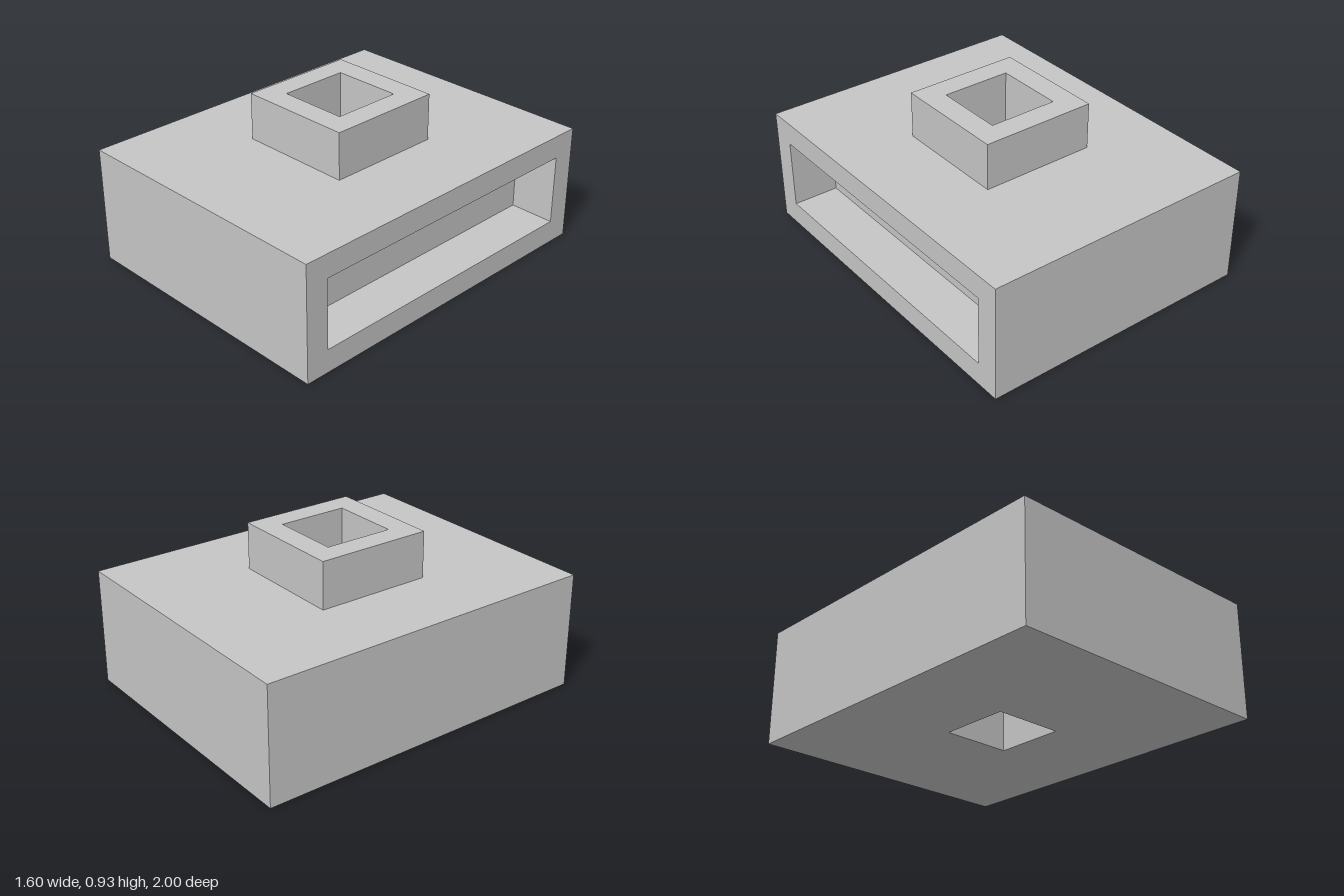
import * as THREE from 'three';

const U = 2 / 15; // design module: the block is 12 x 5 x 15 modules

const lightGrey = new THREE.MeshStandardMaterial({ color: 0xc5c5c5 });
lightGrey.name = 'lightGrey';

// Keeps chosen sides of a box (0 +x, 1 -x, 2 +y, 3 -y, 4 +z, 5 -z); inward turns them to face inside.
function boxSides(w, h, d, sides, inward = false) {
  const geometry = new THREE.BoxGeometry(w * U, h * U, d * U);
  const all = Array.from(geometry.index.array);
  const kept = sides.flatMap((s) => all.slice(s * 6, s * 6 + 6));
  if (inward) {
    kept.reverse();
    const n = geometry.attributes.normal;
    for (let i = 0; i < n.count; i++) n.setXYZ(i, -n.getX(i), -n.getY(i), -n.getZ(i));
  }
  geometry.setIndex(kept);
  geometry.clearGroups();
  return geometry;
}

function rectangle(PathType, w, h) {
  const x = (w / 2) * U, y = (h / 2) * U;
  return new PathType([[-x, -y], [x, -y], [x, y], [-x, y]].map(([a, b]) => new THREE.Vector2(a, b)));
}

// Flat rectangular face with a centred rectangular opening
function framedFace(w, h, holeW, holeH) {
  const shape = rectangle(THREE.Shape, w, h);
  shape.holes.push(rectangle(THREE.Path, holeW, holeH));
  return new THREE.ShapeGeometry(shape);
}

export function createModel() {
  const model = new THREE.Group();
  model.name = 'housing';

  const add = (name, geometry, x, y, z) => {
    const mesh = new THREE.Mesh(geometry, lightGrey);
    mesh.name = name;
    mesh.position.set(x * U, y * U, z * U);
    model.add(mesh);
  };

  // Main block: plain front, back and right sides, other faces have openings
  add('bodyWalls', boxSides(12, 5, 15, [1, 4, 5]), 0, 2.5, 0);
  add('bodyTop', framedFace(12, 15, 5, 5).rotateX(-Math.PI / 2), 0, 5, 0);
  add('bodyBottom', framedFace(12, 15, 3, 3).rotateX(Math.PI / 2), 0, 0, 0);
  add('slotFrame', framedFace(15, 5, 13, 3).rotateY(Math.PI / 2), 6, 2.5, 0);

  // Blind slot in the left side
  add('slotRecess', boxSides(2, 3, 13, [1, 2, 3, 4, 5], true), 5, 2.5, 0);

  // Raised square collar
  add('collarWalls', boxSides(5, 2, 5, [0, 1, 4, 5]), 0, 6, 0);
  add('collarRim', framedFace(5, 5, 3, 3).rotateX(-Math.PI / 2), 0, 7, 0);

  // Square shaft running through collar and block
  add('shaftWalls', boxSides(3, 7, 3, [0, 1, 4, 5], true), 0, 3.5, 0);

  return model;
}
